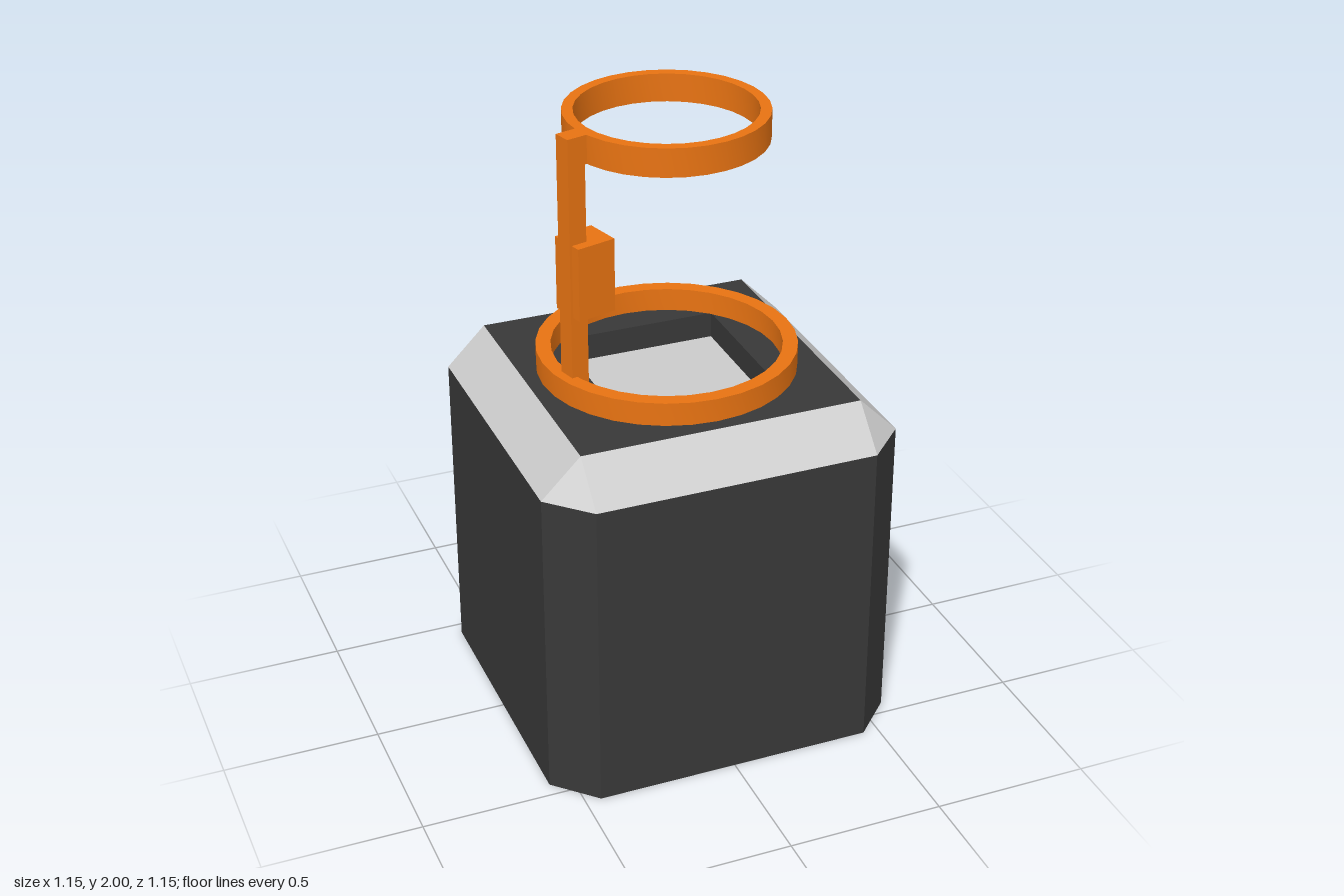
import * as THREE from 'three';
import { toCreasedNormals } from 'three/addons/utils/BufferGeometryUtils.js';

const dark = new THREE.MeshStandardMaterial({ color: 0x383838 });
const grey = new THREE.MeshStandardMaterial({ color: 0xcccccc });
const orange = new THREE.MeshStandardMaterial({ color: 0xe87312 });

const HALF = 0.575, INNER = 0.45, HOLE = 0.26;
const SHOULDER = 1.03, TOP = 1.155, FLOOR = 1.07;

function add(parent, name, geometry, material, x = 0, y = 0, z = 0) {
  const mesh = new THREE.Mesh(geometry, material);
  mesh.name = name;
  mesh.position.set(x, y, z);
  parent.add(mesh);
  return mesh;
}

const square = (h) => [[-h, -h], [h, -h], [h, h], [-h, h]].map(([x, y]) => new THREE.Vector2(x, y));

// Extrude a floor-plan shape upwards
function slab(shape, height) {
  return new THREE.ExtrudeGeometry(shape, { depth: height, bevelEnabled: false }).rotateX(-Math.PI / 2);
}

// Ring with a rectangular section
function ring(inner, outer, height) {
  const profile = [[inner, 0], [outer, 0], [outer, height], [inner, height], [inner, 0]]
    .map(([r, y]) => new THREE.Vector2(r, y));
  return toCreasedNormals(new THREE.LatheGeometry(profile, 32), 0.6);
}

// Four sloping sides and four corner triangles
function bevelGeometry() {
  const a = [-INNER, SHOULDER, HALF], b = [INNER, SHOULDER, HALF];
  const c = [INNER, TOP, INNER], d = [-INNER, TOP, INNER], e = [HALF, SHOULDER, INNER];
  const positions = [];
  for (let k = 0; k < 4; k++) {
    for (const p of [a, b, c, a, c, d, b, e, c]) {
      const v = new THREE.Vector3(...p).applyAxisAngle(new THREE.Vector3(0, 1, 0), k * Math.PI / 2);
      positions.push(v.x, v.y, v.z);
    }
  }
  const geometry = new THREE.BufferGeometry();
  geometry.setAttribute('position', new THREE.Float32BufferAttribute(positions, 3));
  geometry.computeVertexNormals();
  return geometry;
}

export function createModel() {
  const model = new THREE.Group();
  model.name = 'boxWithRingStand';

  // Body: square block with cut vertical corners
  const octagon = new THREE.Shape([
    [-INNER, -HALF], [INNER, -HALF], [HALF, -INNER], [HALF, INNER],
    [INNER, HALF], [-INNER, HALF], [-HALF, INNER], [-HALF, -INNER],
  ].map(([x, y]) => new THREE.Vector2(x, y)));
  add(model, 'body', slab(octagon, SHOULDER), dark);
  add(model, 'bevelledShoulder', bevelGeometry(), grey);

  // Top plate with a square recess
  const plate = new THREE.Shape(square(INNER));
  plate.holes.push(new THREE.Path(square(HOLE).reverse()));
  add(model, 'topPlate', slab(plate, TOP - FLOOR), dark, 0, FLOOR, 0);
  add(model, 'recessFloor', new THREE.BoxGeometry(0.56, 0.04, 0.56), grey, 0, FLOOR - 0.02, 0);

  // Rings
  add(model, 'baseRing', ring(0.36, 0.407, 0.075), orange, 0, TOP, 0);
  add(model, 'upperRing', ring(0.277, 0.311, 0.09), orange, 0, 1.91, 0);

  // Arm holding the upper ring
  const arm = new THREE.Group();
  arm.name = 'arm';
  arm.rotation.y = THREE.MathUtils.degToRad(15);
  model.add(arm);
  add(arm, 'post', new THREE.BoxGeometry(0.06, 2 - TOP, 0.058), orange, -0.346, (2 + TOP) / 2, 0);
  add(arm, 'ringBracket', new THREE.BoxGeometry(0.05, 0.09, 0.058), orange, -0.315, 1.955, 0);
  add(arm, 'clamp', new THREE.BoxGeometry(0.13, 0.235, 0.118), orange, -0.303, 1.548, 0.002);

  return model;
}
